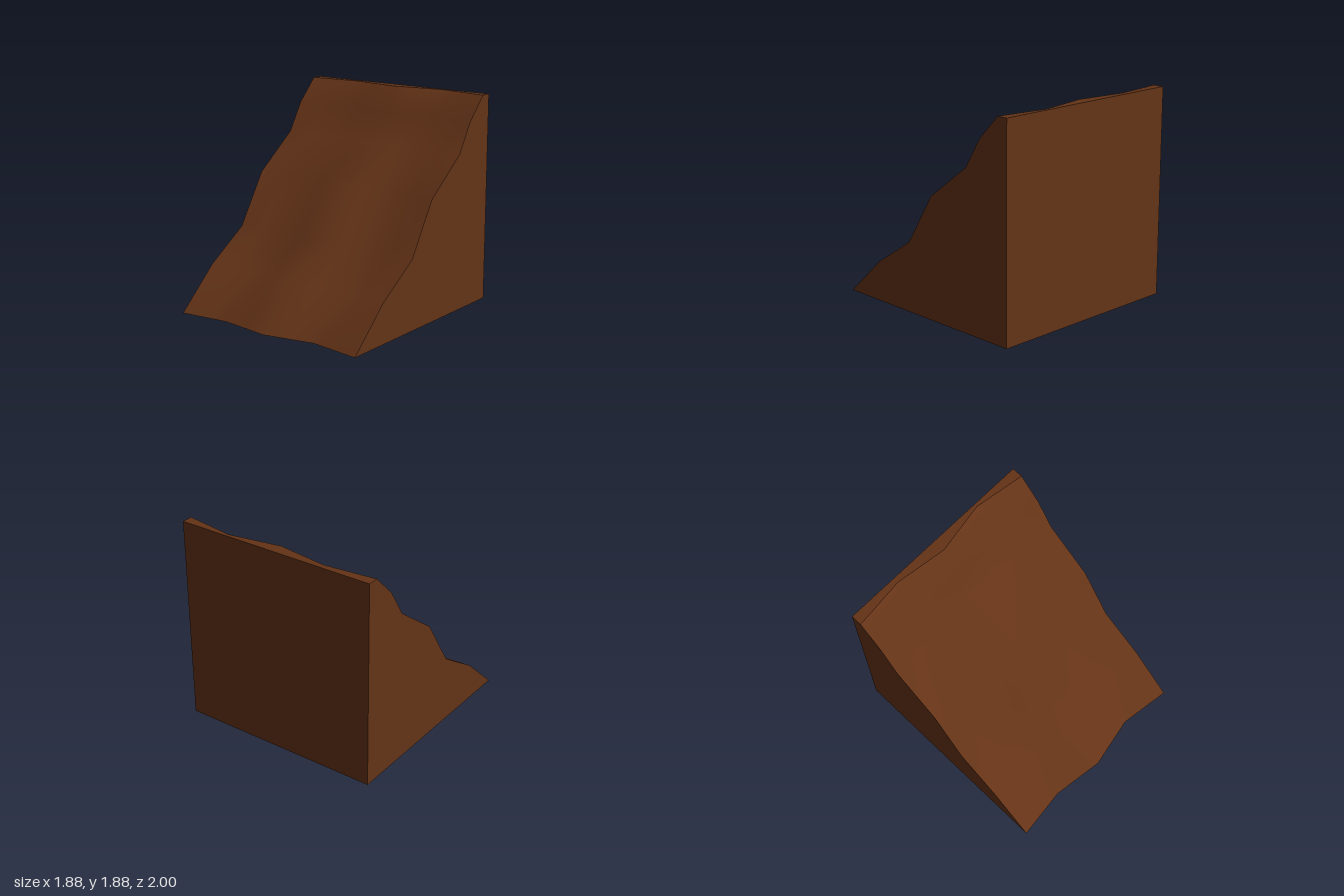
import * as THREE from 'three';

const W = 0.94, BACK = -1;

// Rows from top to bottom: height, depth at the side edges,
// and push in or out at x = -0.47, 0 and 0.47.
const ROWS = [
  [1.88, -0.9, -0.05, 0.015, -0.07],
  [1.67, -0.695, -0.03, 0.025, -0.04],
  [1.41, -0.535, -0.02, -0.07, -0.03],
  [1.09, -0.11, -0.05, 0.09, -0.06],
  [0.63, 0.18, -0.04, 0.09, -0.07],
  [0.36, 0.59, -0.03, 0.05, -0.06],
  [0, 0.98, -0.05, 0.02, -0.07],
];

// One row of nine points across the slope, from -x to +x.
function slopeRow([y, z, a, b, c]) {
  const key = [0, a, b, c, 0];
  const points = [];
  for (let i = 0; i <= 8; i++) {
    const k = Math.floor(i / 2);
    const push = i % 2 ? (key[k] + key[k + 1]) / 2 : key[k];
    points.push([-W + (2 * W * i) / 8, y, z + push]);
  }
  return points;
}

// Sheet through rows of points, listed top to bottom and left to right as seen from outside.
function sheet(name, rows, material) {
  const geometry = new THREE.PlaneGeometry(1, 1, rows[0].length - 1, rows.length - 1);
  rows.flat().forEach((p, i) => geometry.attributes.position.setXYZ(i, ...p));
  geometry.computeVertexNormals();
  const mesh = new THREE.Mesh(geometry, material);
  mesh.name = name;
  return mesh;
}

export function createModel() {
  const group = new THREE.Group();
  group.name = 'earthSlope';
  const earth = new THREE.MeshStandardMaterial({ color: 0x643317 });

  const rows = ROWS.map(slopeRow);
  const atBack = (row) => row.map(([x, y]) => [x, y, BACK]);
  const top = rows[0], bottom = rows[rows.length - 1];

  // Uneven sloping front
  group.add(sheet('slope', rows, earth));

  // Narrow top ledge and flat underside
  group.add(sheet('topLedge', [atBack(top), top], earth));
  group.add(sheet('underside', [bottom, atBack(bottom)], earth));

  // Upright back wall
  group.add(sheet('backWall', [atBack(top).reverse(), atBack(bottom).reverse()], earth));

  // Side walls following the edge of the slope
  const edge = (row, i) => [row[i], [row[i][0], row[i][1], BACK]];
  group.add(sheet('leftWall', rows.map((r) => edge(r, 8)), earth));
  group.add(sheet('rightWall', rows.map((r) => edge(r, 0).reverse()), earth));

  return group;
}
